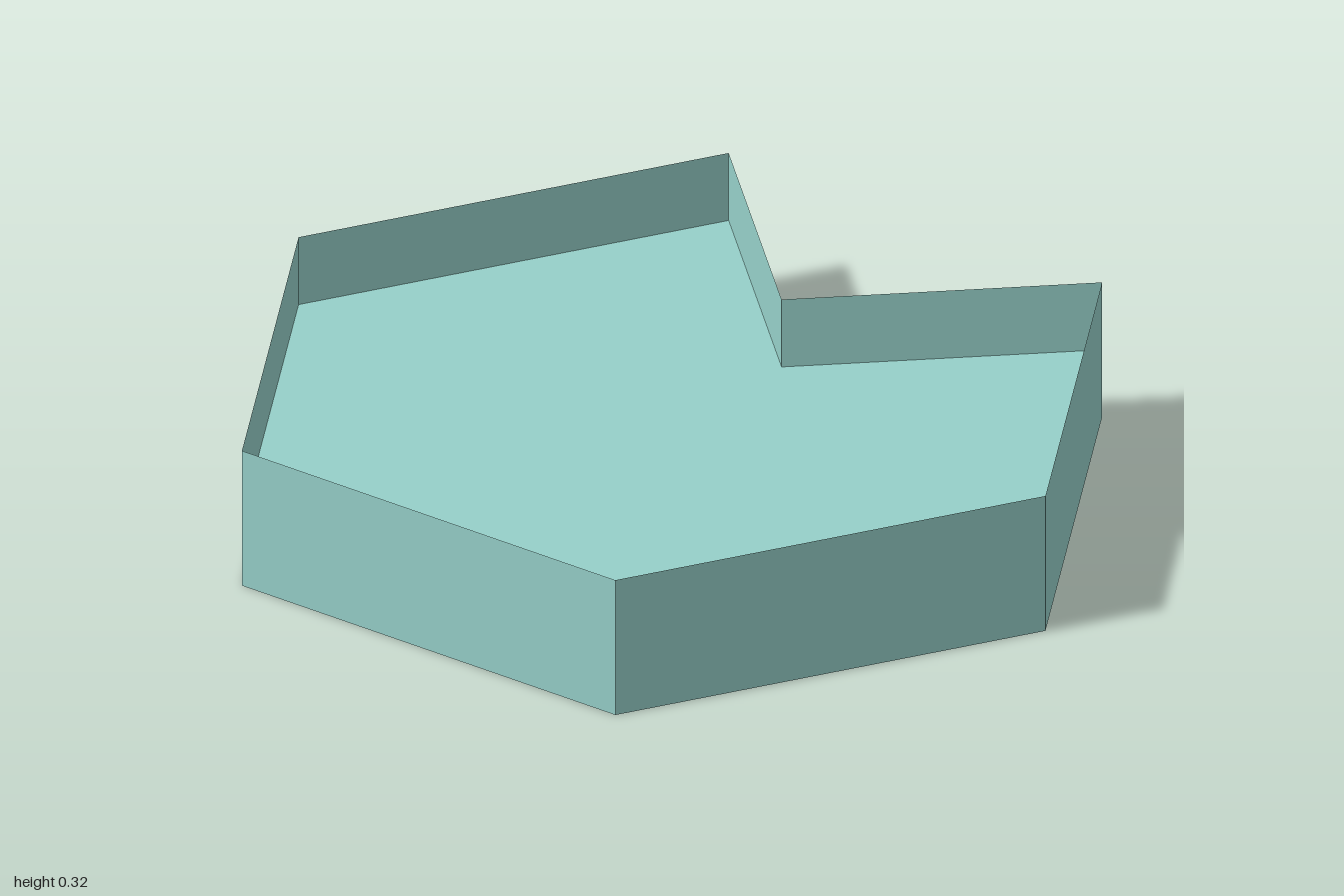
import * as THREE from 'three';

const HEIGHT = 0.325;
const FLOOR = HEIGHT / 2;

// Hexagon outline with a V notch in its +x side, as [x, z]
const OUTLINE = [
  [0, 1], [0.866, 0.5], [0.39, 0], [0.866, -0.5],
  [0, -1], [-0.866, -0.5], [-0.866, 0.5],
];

// Flat plate filling the outline at height y, facing up or down
function plate(name, y, facesUp, material) {
  const s = facesUp ? -1 : 1;
  const shape = new THREE.Shape(OUTLINE.map(([x, z]) => new THREE.Vector2(x, s * z)));
  const geometry = new THREE.ShapeGeometry(shape);
  geometry.rotateX(s * Math.PI / 2);
  const mesh = new THREE.Mesh(geometry, material);
  mesh.name = name;
  mesh.position.y = y;
  return mesh;
}

// Thin upright walls, one flat quad per outline edge
function walls(material) {
  const positions = [];
  OUTLINE.forEach(([ax, az], i) => {
    const [bx, bz] = OUTLINE[(i + 1) % OUTLINE.length];
    positions.push(
      ax, 0, az, bx, 0, bz, bx, HEIGHT, bz,
      ax, 0, az, bx, HEIGHT, bz, ax, HEIGHT, az,
    );
  });
  const geometry = new THREE.BufferGeometry();
  geometry.setAttribute('position', new THREE.Float32BufferAttribute(positions, 3));
  geometry.computeVertexNormals();
  const mesh = new THREE.Mesh(geometry, material);
  mesh.name = 'walls';
  return mesh;
}

export function createModel() {
  const teal = new THREE.MeshStandardMaterial({ color: 0x96d0c9, side: THREE.DoubleSide });
  teal.name = 'pale teal';

  const tray = new THREE.Group();
  tray.name = 'notchedTray';
  tray.add(
    plate('floor', FLOOR, true, teal),
    plate('base', 0, false, teal),
    walls(teal),
  );
  return tray;
}
